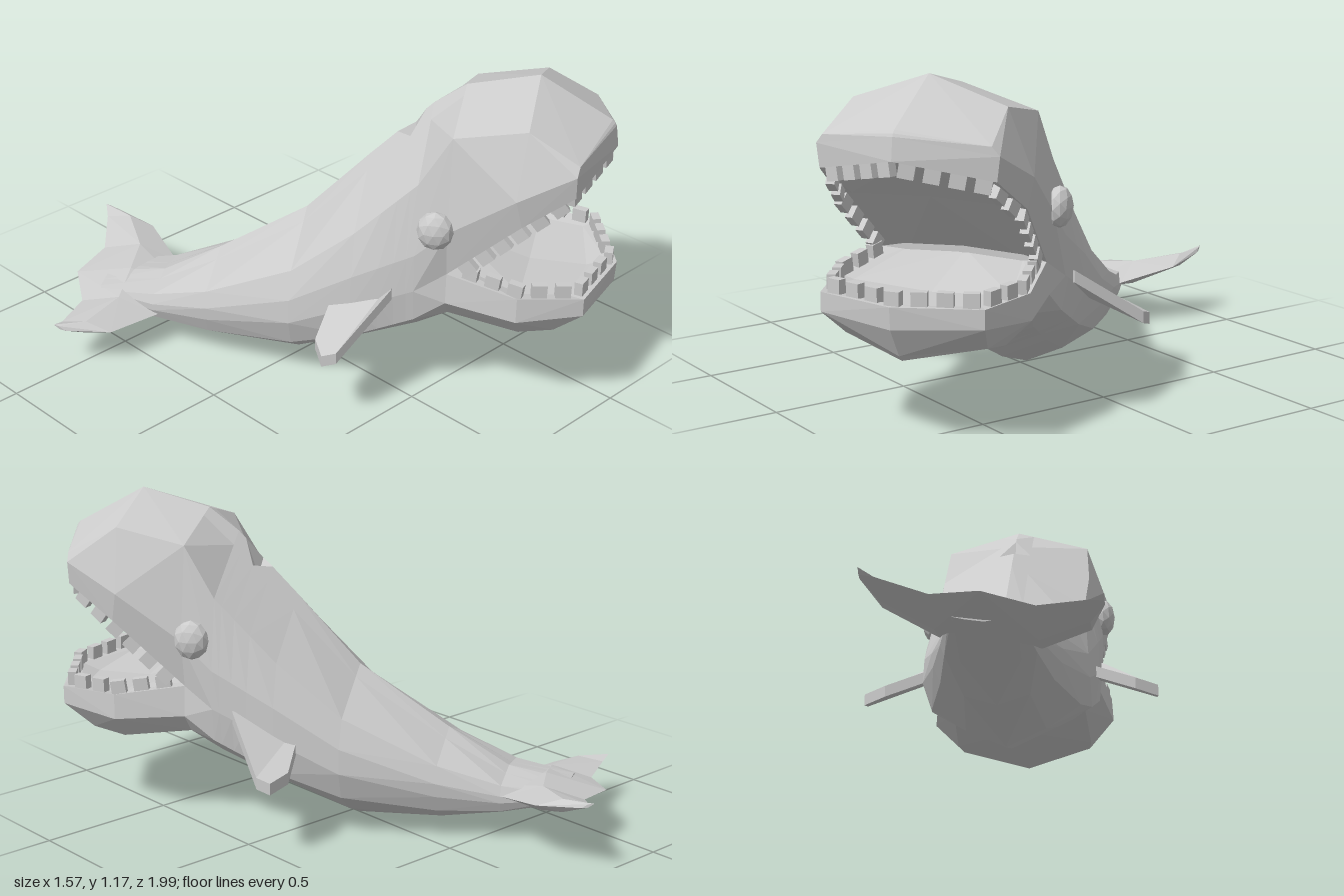
import * as THREE from 'three';

const material = new THREE.MeshStandardMaterial({ color: 0xcccccc, flatShading: true, side: THREE.DoubleSide });

function part(name, geometry) {
  const mesh = new THREE.Mesh(geometry, material);
  mesh.name = name;
  return mesh;
}

// Faceted skin over rings of [x, y, z]; each quad is split along its convex diagonal.
function skin(name, rings, capped = false) {
  const out = [];
  const rows = rings.map(r => r.map(p => new THREE.Vector3(...p)));
  const tri = (...pts) => pts.forEach(p => out.push(p.x, p.y, p.z));
  for (let i = 0; i < rows.length - 1; i++) {
    const n = rows[i].length;
    for (let j = 0; j < n; j++) {
      const a = rows[i][j], b = rows[i][(j + 1) % n];
      const d = rows[i + 1][j], c = rows[i + 1][(j + 1) % n];
      const ac = c.clone().sub(a), bd = b.clone().sub(d);
      const normal = bd.cross(ac).negate();
      const lift = a.clone().add(c).sub(b).sub(d);
      if (lift.dot(normal) >= 0) { tri(a, d, c); tri(a, c, b); }
      else { tri(a, d, b); tri(d, c, b); }
    }
  }
  if (capped) {
    const first = rows[0], last = rows[rows.length - 1];
    for (let k = 1; k < first.length - 1; k++) {
      tri(first[0], first[k], first[k + 1]);
      tri(last[0], last[k + 1], last[k]);
    }
  }
  const g = new THREE.BufferGeometry();
  g.setAttribute('position', new THREE.Float32BufferAttribute(out, 3));
  g.computeVertexNormals();
  return part(name, g);
}

// Half section, top centre to bottom centre, completed on the other side.
const mirrored = half => [...half, ...half.slice(1, -1).reverse().map(([x, y, z]) => [-x, y, z])];

function makeBody() {
  // z, ridge y, then (x, y) of shoulder, cheek, flank, chine, belly edge, and keel y
  const table = [
    [-0.80, 0.20, 0.10, 0.19, 0.11, 0.175, 0.11, 0.165, 0.10, 0.15, 0.06, 0.14, 0.13],
    [-0.58, 0.235, 0.15, 0.21, 0.165, 0.175, 0.165, 0.15, 0.15, 0.115, 0.10, 0.095, 0.08],
    [-0.36, 0.36, 0.20, 0.28, 0.22, 0.22, 0.215, 0.17, 0.19, 0.11, 0.11, 0.06, 0.025],
    [-0.03, 0.57, 0.25, 0.44, 0.29, 0.34, 0.295, 0.25, 0.26, 0.15, 0.14, 0.065, 0],
    [0.20, 0.81, 0.27, 0.63, 0.315, 0.48, 0.32, 0.36, 0.29, 0.23, 0.17, 0.16, 0.08],
    [0.42, 1.03, 0.28, 0.85, 0.325, 0.60, 0.325, 0.46, 0.31, 0.34, 0.21, 0.27, 0.19],
    [0.53, 1.11, 0.27, 1.03, 0.325, 0.70, 0.30, 0.53, 0.31, 0.42, 0.25, 0.35, 0.27],
  ];
  // extra rows around the blowhole
  const between = t => table[4].map((v, k) => v + (table[5][k] - v) * t);
  const rows = [...table.slice(0, 5), between(0.43), between(0.68), between(0.88), ...table.slice(5)];
  return skin('body', rows.map((r, i) => {
    const z = r[0];
    const crease = [0.06, r[1] + (r[3] - r[1]) * 0.06 / r[2], z];
    const half = [[0, r[1] - (i === 6 ? 0.09 : 0), z], crease];
    for (let k = 2; k < 12; k += 2) half.push([r[k], r[k + 1], z]);
    half.push([0, r[12], z]);
    return mirrored(half);
  }), true);
}

// Ridge, shoulder, cheek, lip, gum, palate
function makeUpperHead() {
  return skin('upperHead', [
    [[0, 1.11, 0.53], [0.27, 1.03, 0.53], [0.325, 0.70, 0.53], [0.30, 0.53, 0.53], [0.21, 0.53, 0.51], [0, 0.54, 0.51]],
    [[0, 1.17, 0.78], [0.27, 1.08, 0.78], [0.35, 0.86, 0.76], [0.335, 0.76, 0.78], [0.28, 0.765, 0.78], [0, 0.775, 0.78]],
    [[0, 1.03, 1.03], [0.29, 0.985, 0.955], [0.315, 0.955, 0.95], [0.305, 0.875, 0.95], [0.25, 0.88, 0.91], [0, 0.92, 0.96]],
    [[0, 1.02, 1.04], [0, 1.02, 1.04], [0, 1.01, 1.045], [0, 0.935, 1.055], [0, 0.93, 1.0], [0, 0.93, 0.98]],
  ].map(mirrored));
}

// Mouth floor, gum, lip, chine, belly edge, keel
function makeLowerJaw() {
  return skin('lowerJaw', [
    [[0, 0.54, 0.51], [0.21, 0.53, 0.51], [0.30, 0.53, 0.53], [0.31, 0.42, 0.53], [0.25, 0.35, 0.53], [0, 0.27, 0.53]],
    [[0, 0.46, 0.78], [0.28, 0.475, 0.78], [0.345, 0.49, 0.78], [0.35, 0.40, 0.78], [0.26, 0.31, 0.78], [0, 0.255, 0.76]],
    [[0, 0.46, 0.98], [0.25, 0.475, 0.94], [0.285, 0.485, 1.0], [0.285, 0.42, 1.0], [0.25, 0.33, 0.90], [0, 0.29, 0.98]],
    [[0, 0.47, 1.05], [0, 0.485, 1.05], [0, 0.485, 1.085], [0, 0.41, 1.08], [0, 0.31, 1.02], [0, 0.29, 1.0]],
  ].map(mirrored));
}

// Row of box teeth along a mirrored lip path
function makeTeeth(name, half, count, offset) {
  const group = new THREE.Group();
  group.name = name;
  const pts = [...half, ...half.slice(0, -1).reverse().map(([x, y, z]) => [-x, y, z])]
    .map(p => new THREE.Vector3(...p));
  const path = new THREE.CurvePath();
  for (let i = 0; i < pts.length - 1; i++) path.add(new THREE.LineCurve3(pts[i], pts[i + 1]));
  const box = new THREE.BoxGeometry(0.03, 0.048, 0.052);
  for (let i = 0; i < count; i++) {
    const u = (i + 0.5) / count;
    const tooth = part('tooth', box);
    tooth.position.copy(path.getPointAt(u));
    tooth.lookAt(tooth.position.clone().add(path.getTangentAt(u)));
    tooth.translateY(offset);
    group.add(tooth);
  }
  return group;
}

// Tail fluke: thin diamond sections from tip to tip, slightly rolled and turned
function makeFluke() {
  // x, leading z, trailing z, mid height, half thickness
  const half = [
    [0, -0.50, -0.93, 0.165, 0.055],
    [0.165, -0.575, -0.865, 0.165, 0.045],
    [0.33, -0.71, -0.895, 0.19, 0.024],
    [0.378, -0.87, -0.912, 0.21, 0.006],
  ];
  const all = [...half.slice(1).reverse().map(([x, ...r]) => [-x, ...r]), ...half];
  return skin('tailFluke', all.map(([x, front, back, h, t]) => {
    const y = h + 0.126 * x, turn = -0.07 * x, mid = (front + back) / 2;
    return [[x, y + t, mid + turn], [x, y + 0.01, back + turn],
      [x, y - t, mid + turn], [x, y - 0.01, front + turn]];
  }), true);
}

// Flat side fin sloping down and back
function makeFin(name, side) {
  const outline = [[0.2, 0.37, 0.14], [0.31, 0.335, 0.12], [0.45, 0.28, 0.105], [0.53, 0.265, 0.145],
    [0.525, 0.28, 0.195], [0.33, 0.44, 0.345], [0.2, 0.46, 0.36]];
  const ring = dy => {
    const r = outline.map(([x, y, z]) => [side * x, y + dy, z]);
    return side > 0 ? r : r.reverse();
  };
  return skin(name, [ring(-0.022), ring(0.02)], true);
}

function makeEye(name, side) {
  const eye = part(name, new THREE.IcosahedronGeometry(0.071, 1));
  eye.scale.set(0.6, 1, 0.9);
  eye.position.set(side * 0.33, 0.71, 0.49);
  return eye;
}

export function createModel() {
  const whale = new THREE.Group();
  whale.name = 'whale';
  whale.add(makeBody(), makeUpperHead(), makeLowerJaw(), makeFluke());
  whale.add(makeTeeth('upperTeeth',
    [[0.285, 0.55, 0.56], [0.315, 0.76, 0.78], [0.28, 0.875, 0.93], [0, 0.93, 1.03]], 20, -0.02));
  whale.add(makeTeeth('lowerTeeth',
    [[0.28, 0.52, 0.57], [0.32, 0.49, 0.78], [0.265, 0.485, 0.975], [0, 0.485, 1.055]], 17, 0.022));
  for (const [label, side] of [['left', 1], ['right', -1]]) {
    whale.add(makeFin(label + 'Fin', side), makeEye(label + 'Eye', side));
  }
  // the animal swims diagonally across the base
  whale.rotation.y = THREE.MathUtils.degToRad(32.5);
  whale.position.set(0.013, 0, -0.006);
  const model = new THREE.Group();
  model.add(whale);
  return model;
}
